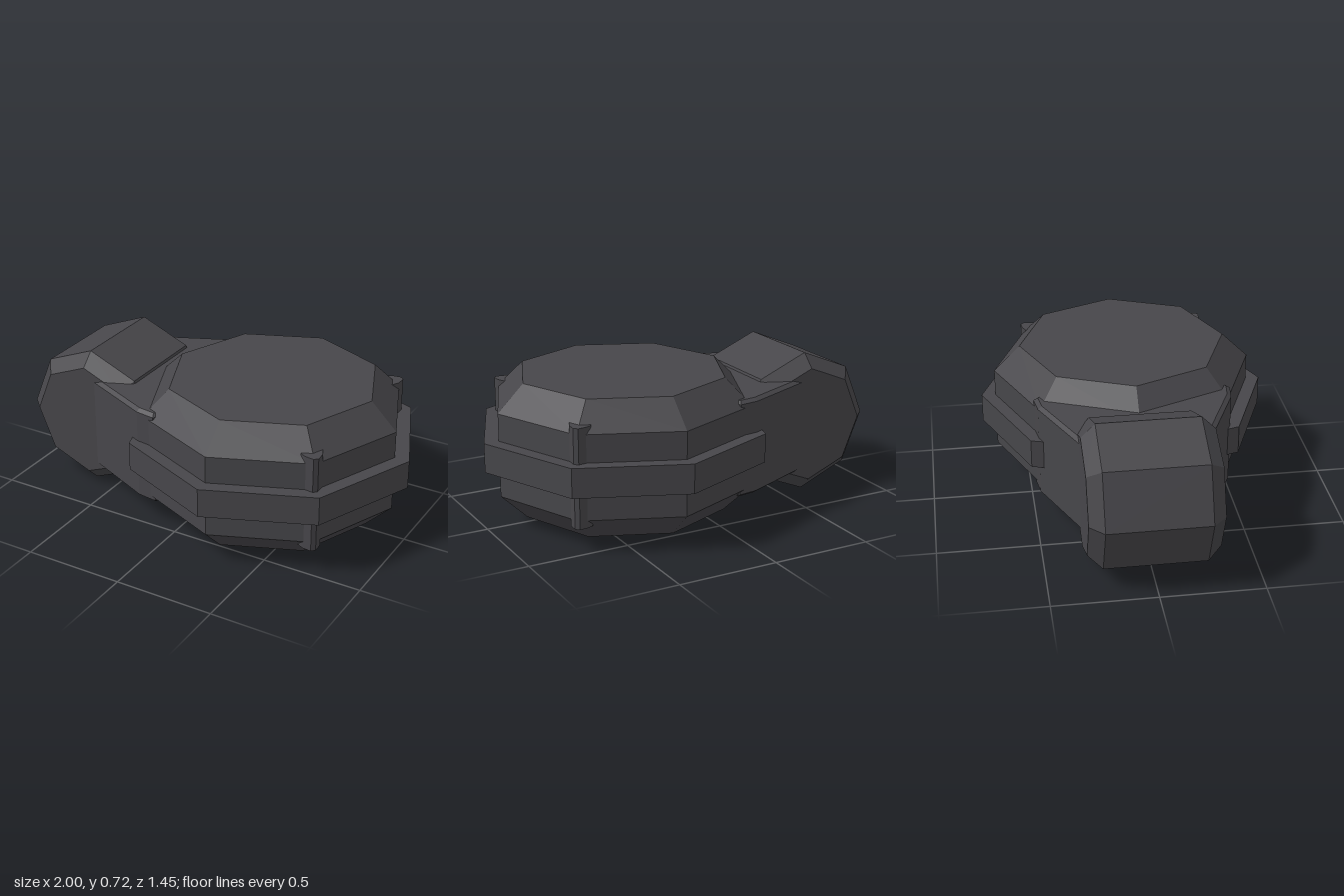
import * as THREE from 'three';

const MID = 0.367; // height of the horizontal mid plane
const BODY_X = 0.27; // axis of the main drum

export function createModel() {
  const model = new THREE.Group();
  model.name = 'facetedCase';
  const charcoal = new THREE.MeshStandardMaterial({ color: 0x47464a, flatShading: true });
  charcoal.name = 'charcoal';

  function add(name, geometry) {
    const mesh = new THREE.Mesh(geometry, charcoal);
    mesh.name = name;
    model.add(mesh);
    return mesh;
  }

  // Eight-sided drum with chamfered rims, centred on its own axis
  function drum(radius, capRadius, half, wallHalf) {
    const profile = [[0, -half], [capRadius, -half], [radius, -wallHalf],
      [radius, wallHalf], [capRadius, half], [0, half]];
    return new THREE.LatheGeometry(profile.map(([r, y]) => new THREE.Vector2(r, y)), 8);
  }

  // Horizontal slab from [x, z] points, centred on y = 0
  function slab(points, height, bevel = 0, inset = 0) {
    const shape = new THREE.Shape(points.map(([x, z]) => new THREE.Vector2(x, -z)));
    const geometry = new THREE.ExtrudeGeometry(shape, {
      depth: height - 2 * bevel, bevelEnabled: bevel > 0, bevelSegments: 1,
      bevelThickness: bevel, bevelSize: inset, bevelOffset: -inset,
    });
    return geometry.translate(0, 0, bevel - height / 2).rotateX(-Math.PI / 2);
  }

  // Closes a half outline by reflecting it across z = 0
  const mirrored = (points) => points.concat(points.filter((p) => p[1] !== 0).map(([x, z]) => [x, -z]).reverse());

  // Main drum and the smaller side drum lying across it
  add('mainDrum', drum(0.655, 0.522, 0.338, 0.208)).position.set(BODY_X, MID, 0);
  const side = add('sideDrum', drum(0.362, 0.294, 0.313, 0.245));
  side.rotation.x = Math.PI / 2;
  side.position.set(-0.638, MID, 0);

  // Tapered neck joining the two drums
  add('neck', slab(mirrored([[-0.63, 0.31], [-0.58, 0.312], [-0.22, 0.472], [-0.12, 0.486], [-0.09, 0.45], [0.1, 0.3]]),
    0.488, 0.015, 0.02)).position.y = MID;

  // Raised belt around the drum, open at the neck
  add('belt', slab(mirrored([[1, 0], [0.785, 0.513], [BODY_X, 0.725], [-0.243, 0.513], [-0.268, 0.43], [0, 0.2]]),
    0.145)).position.y = MID;

  // Upright ribs on the two outer corners
  for (const s of [1, -1]) {
    const outline = [[0.66, 0.465], [0.69, 0.479], [0.735, 0.485], [0.752, 0.467],
      [0.75, 0.42], [0.73, 0.38], [0.6, 0.34]];
    add(s > 0 ? 'frontCornerRib' : 'backCornerRib', slab(outline.map(([x, z]) => [x, z * s]), 0.488)).position.y = MID;
  }
  return model;
}
